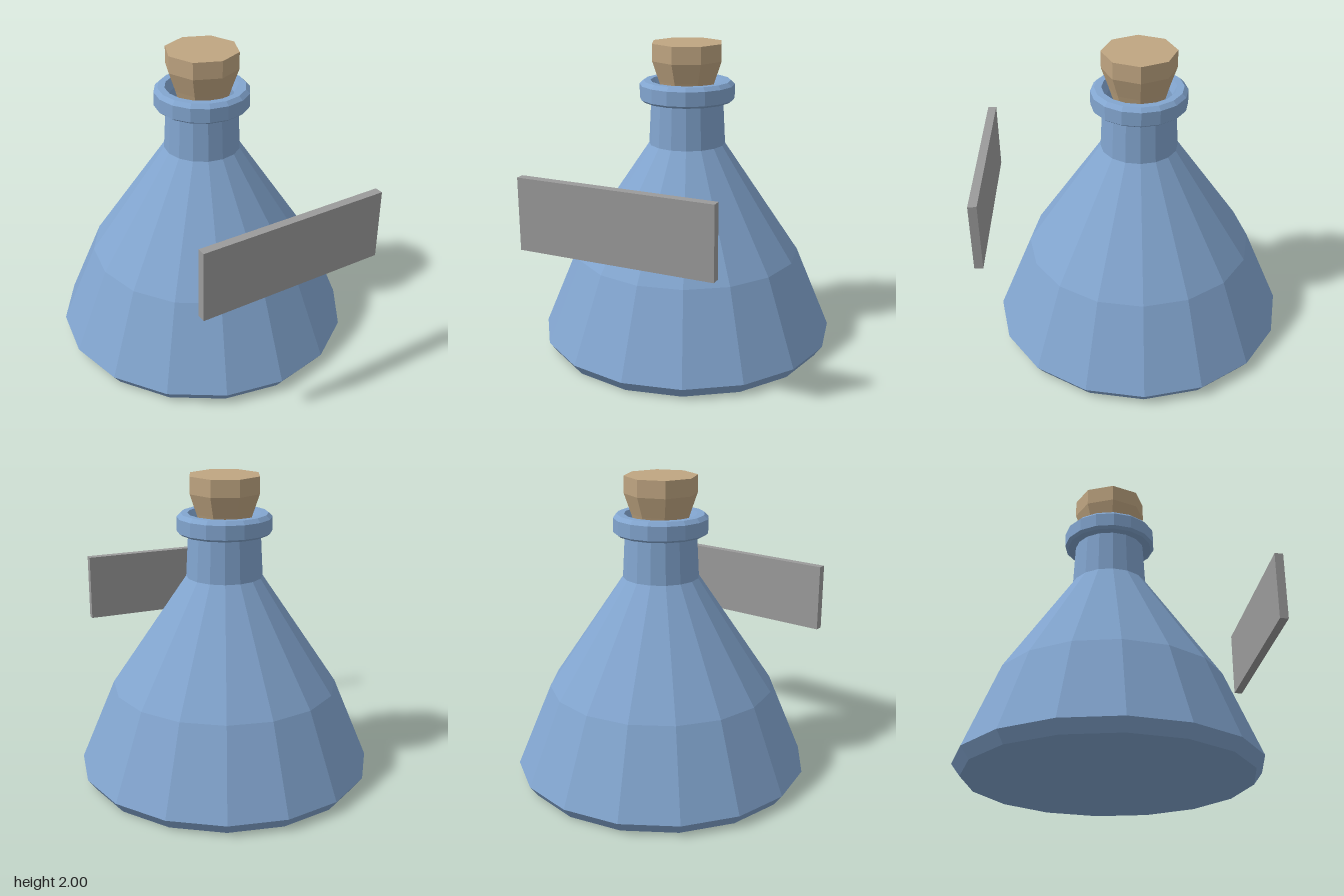
import * as THREE from 'three';

const glass = new THREE.MeshStandardMaterial({ name: 'blue glass', color: 0x82a5cf });
const corkTan = new THREE.MeshStandardMaterial({ name: 'cork tan', color: 0xbfa581 });
const labelGrey = new THREE.MeshStandardMaterial({ name: 'label grey', color: 0x9b9b9b });

// Faceted solid of revolution from [radius, height] points
function facetedLathe(name, points, sides, material) {
  const profile = points.map(([r, y]) => new THREE.Vector2(r, y));
  const geometry = new THREE.LatheGeometry(profile, sides).toNonIndexed();
  geometry.computeVertexNormals();
  const mesh = new THREE.Mesh(geometry, material);
  mesh.name = name;
  mesh.position.z = -0.03;
  return mesh;
}

export function createModel() {
  const group = new THREE.Group();
  group.name = 'corkedFlask';

  // Conical body, neck, bevelled lip and the hollow of the mouth
  group.add(facetedLathe('flask', [
    [0, 0], [0.91, 0], [0.965, 0.075], [0.738, 0.62], [0.247, 1.35],
    [0.232, 1.63], [0.285, 1.63], [0.305, 1.645], [0.305, 1.735], [0.28, 1.76],
    [0.235, 1.76], [0.205, 1.7], [0.2, 1.55], [0, 1.55],
  ], 16, glass));

  // Stopper: straight head and tapered plug
  group.add(facetedLathe('cork', [
    [0, 1.58], [0.135, 1.58], [0.19, 1.76], [0.235, 1.89], [0.235, 2], [0, 2],
  ], 8, corkTan));

  // Flat label standing in front of the body
  const label = new THREE.Mesh(new THREE.BoxGeometry(1.25, 0.45, 0.055), labelGrey);
  label.name = 'label';
  label.position.set(0, 1.08, 0.97);
  group.add(label);

  return group;
}
